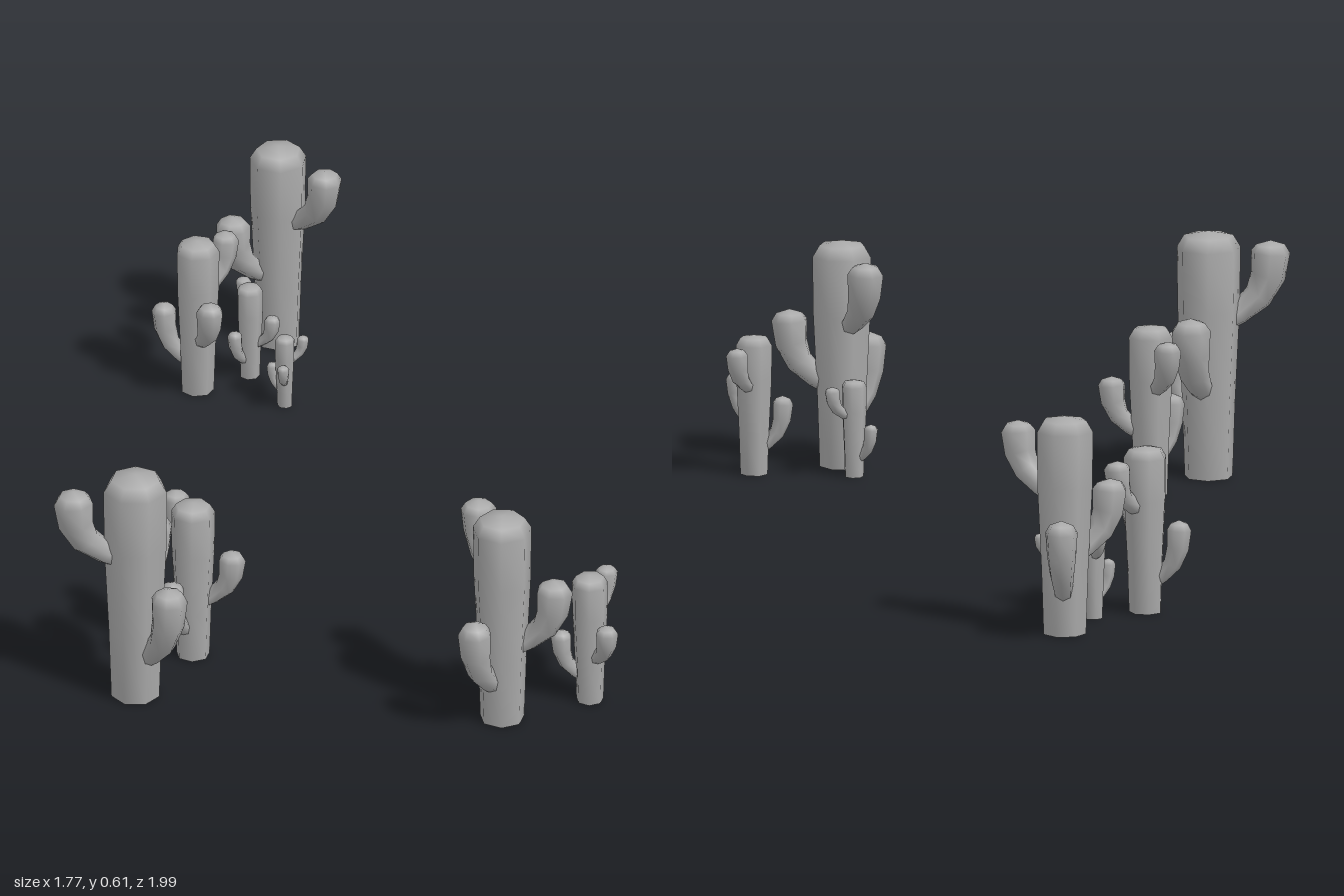
import * as THREE from 'three';

const SIDES = 7;

// Smooth tapering limb: each ring is [distance out, height, radius]; the last ring is closed by a tip.
function limb(rings, tip) {
  const pos = [], index = [], n = rings.length;
  rings.forEach(([x, y, r], i) => {
    const a = rings[Math.max(i - 1, 0)], b = rings[Math.min(i + 1, n - 1)];
    const t = new THREE.Vector2(b[0] - a[0], b[1] - a[1]).normalize();
    for (let s = 0; s < SIDES; s++) {
      const ang = (s / SIDES) * Math.PI * 2;
      const c = Math.cos(ang) * r;
      pos.push(x + t.y * c, y - t.x * c, -Math.sin(ang) * r);
    }
  });
  pos.push(tip[0], tip[1], 0);
  for (let i = 0; i < n; i++) {
    for (let s = 0; s < SIDES; s++) {
      const p = i * SIDES + s, q = i * SIDES + (s + 1) % SIDES;
      if (i === n - 1) index.push(p, q, n * SIDES);
      else index.push(p, q, p + SIDES, q, q + SIDES, p + SIDES);
    }
  }
  const g = new THREE.BufferGeometry();
  g.setAttribute('position', new THREE.Float32BufferAttribute(pos, 3));
  g.setIndex(index);
  g.computeVertexNormals();
  return g;
}

// Arm that leaves the trunk at height y0 and bends up to its top at y1
function arm(reach, y0, y1, size, turn) {
  const h = y1 - y0;
  const g = limb([
    [0.04, y0 - 0.02, 0.045 * size],
    [reach * 0.48, y0 + h * 0.06, 0.048 * size],
    [reach * 0.8, y0 + h * 0.27, 0.06 * size],
    [reach * 0.96, y0 + h * 0.53, 0.072 * size],
    [reach, y0 + h * 0.84, 0.08 * size],
    [reach, y0 + h * 0.94, 0.058 * size],
  ], [reach, y1]);
  return g.rotateY(-turn * Math.PI / 180);
}

export function createModel() {
  const model = new THREE.Group();
  model.name = 'cactusField';
  const grey = new THREE.MeshStandardMaterial({ color: 0xaaaaaa });
  grey.name = 'grey';

  // Parts of a cactus one unit tall
  const parts = {
    trunk: limb([
      [0, 0, 0.098], [0, 0.3, 0.108], [0, 0.68, 0.127],
      [0, 0.93, 0.13], [0, 0.98, 0.1],
    ], [0, 1]),
    base: new THREE.CircleGeometry(0.098, SIDES).rotateX(Math.PI / 2),
    highArm: arm(0.252, 0.64, 0.95, 1, 0),
    lowArm: arm(0.2, 0.2, 0.56, 0.93, -120),
    middleArm: arm(0.228, 0.37, 0.69, 1, 120),
  };

  // x, z, height, direction of the high arm in degrees from +x towards +z
  const plants = [
    [-0.72, -0.865, 0.54, 6], [-0.78, -0.56, 0.412, -77],
    [-0.7, -0.68, 0.25, 228], [-0.555, -0.59, 0.19, -52],
    [-0.2, 0.845, 0.61, 140], [-0.17, 0.605, 0.42, 219],
    [0.64, 0.53, 0.56, 218], [0.785, 0.35, 0.345, -90],
    [0.557, 0.437, 0.24, -58],
  ];
  plants.forEach(([x, z, height, turn], i) => {
    const cactus = new THREE.Group();
    cactus.name = `cactus${i + 1}`;
    for (const [name, geometry] of Object.entries(parts)) {
      const mesh = new THREE.Mesh(geometry, grey);
      mesh.name = name;
      cactus.add(mesh);
    }
    cactus.position.set(x, 0, z);
    cactus.rotation.y = -turn * Math.PI / 180;
    cactus.scale.setScalar(height);
    model.add(cactus);
  });
  return model;
}
